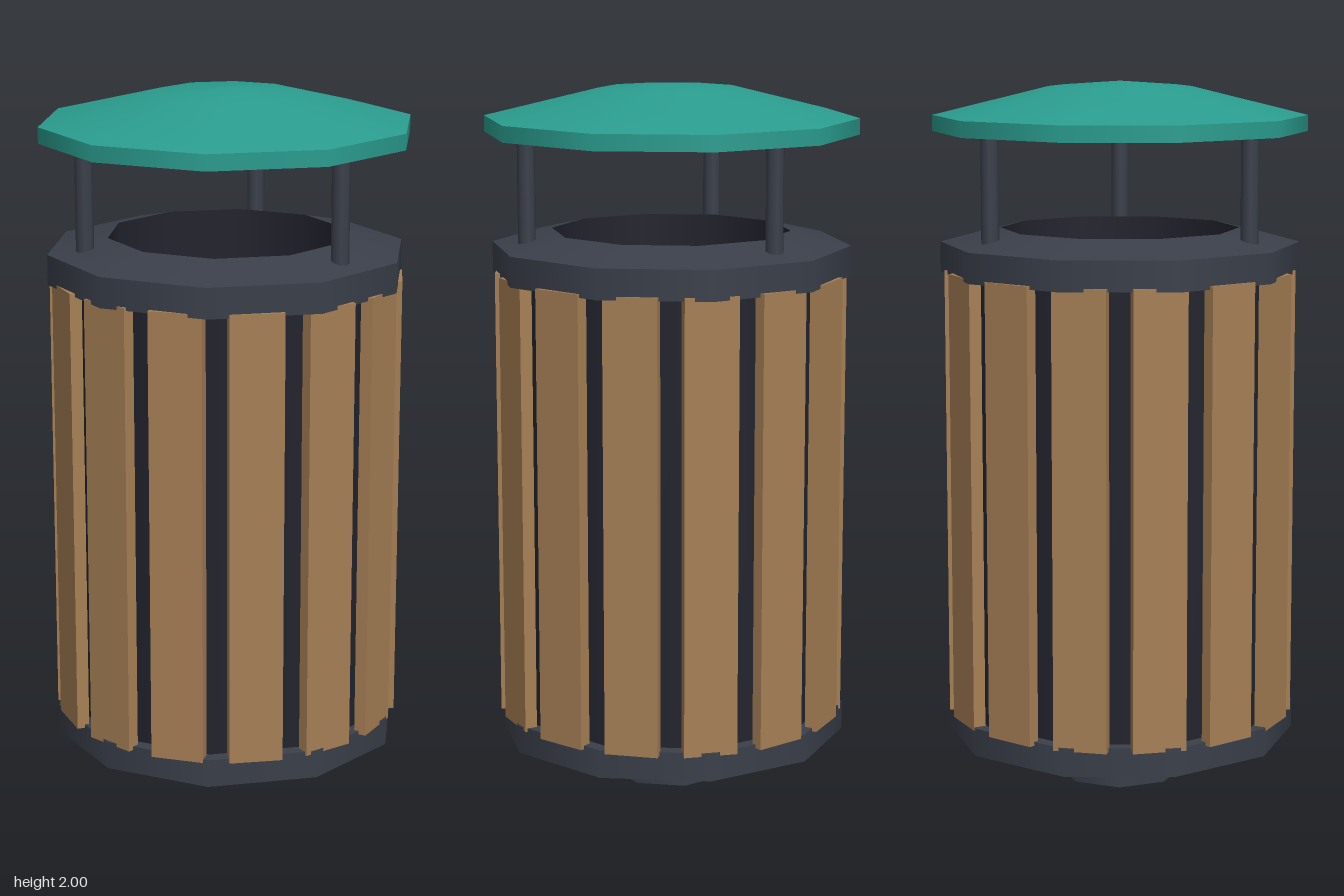
import * as THREE from 'three';

const material = (name, color, side = THREE.FrontSide) => {
  const m = new THREE.MeshStandardMaterial({ color, side });
  m.name = name;
  return m;
};

export function createModel() {
  const teal = material('teal canopy', 0x2a9d8f);
  const wood = material('brown wood', 0xa67f55);
  const metal = material('dark grey metal', 0x3a3f4a);
  const dark = material('near black liner', 0x22232d, THREE.DoubleSide);

  const model = new THREE.Group();
  model.name = 'litterBin';

  const add = (name, geometry, mat, parent = model) => {
    const mesh = new THREE.Mesh(geometry, mat);
    mesh.name = name;
    parent.add(mesh);
    return mesh;
  };
  const group = (name) => {
    const g = new THREE.Group();
    g.name = name;
    model.add(g);
    return g;
  };
  // Upright prism between two heights, with corners on the x axis
  const prism = (r, y0, y1, sides, open = false) =>
    new THREE.CylinderGeometry(r, r, y1 - y0, sides, 1, open, Math.PI / 2)
      .translate(0, (y0 + y1) / 2, 0);
  // Ten-sided surface turned from [radius, height] points
  const turned = (points) =>
    new THREE.LatheGeometry(points.map((p) => new THREE.Vector2(...p)), 10, Math.PI / 2);

  // Foot and base ring
  add('foot', prism(0.18, 0, 0.11, 8), metal);
  add('baseRing', prism(0.5, 0.13, 0.21, 10), metal);

  // Open inner drum behind the slats
  add('drum', prism(0.46, 0.2, 1.48, 10, true), dark);

  // Fourteen wooden slats
  const slats = group('slats');
  const slatGeometry = new THREE.BoxGeometry(0.15, 1.275, 0.035);
  const count = 14;
  for (let i = 0; i < count; i++) {
    const a = Math.PI / 2 + (i * 2 * Math.PI) / count;
    const slat = add('slat', slatGeometry, wood, slats);
    slat.position.set(0.474 * Math.sin(a), 0.8375, 0.474 * Math.cos(a));
    slat.rotation.y = a;
  }

  // Collar: underside, outer wall and sloped top stay separate for sharp edges
  const collar = group('collar');
  add('collarUnderside', turned([[0.44, 1.465], [0.507, 1.465]]), metal, collar);
  add('collarWall', turned([[0.507, 1.465], [0.507, 1.55]]), metal, collar);
  add('collarTop', turned([[0.507, 1.55], [0.337, 1.59]]), metal, collar);
  // Throat of the opening, running down to the floor of the bin
  add('liner', turned([[0.337, 1.59], [0.337, 0.22]]), dark, collar);
  add('linerFloor', turned([[0.337, 0.22], [0, 0.22]]), dark, collar);

  // Three posts carrying the canopy
  const posts = group('posts');
  for (let i = 0; i < 3; i++) {
    const a = (i * 2 * Math.PI) / 3;
    const post = add('post', prism(0.025, 1.55, 1.875, 8), metal, posts);
    post.position.set(0.41 * Math.sin(a), 0, 0.41 * Math.cos(a));
  }

  // Canopy: flat underside, rim and shallow dome
  const canopy = group('canopy');
  add('canopyUnderside', turned([[0, 1.86], [0.526, 1.86]]), teal, canopy);
  add('canopyRim', turned([[0.526, 1.86], [0.526, 1.905]]), teal, canopy);
  add('canopyDome', turned([[0.526, 1.905], [0.2, 1.985], [0, 2]]), teal, canopy);

  return model;
}
